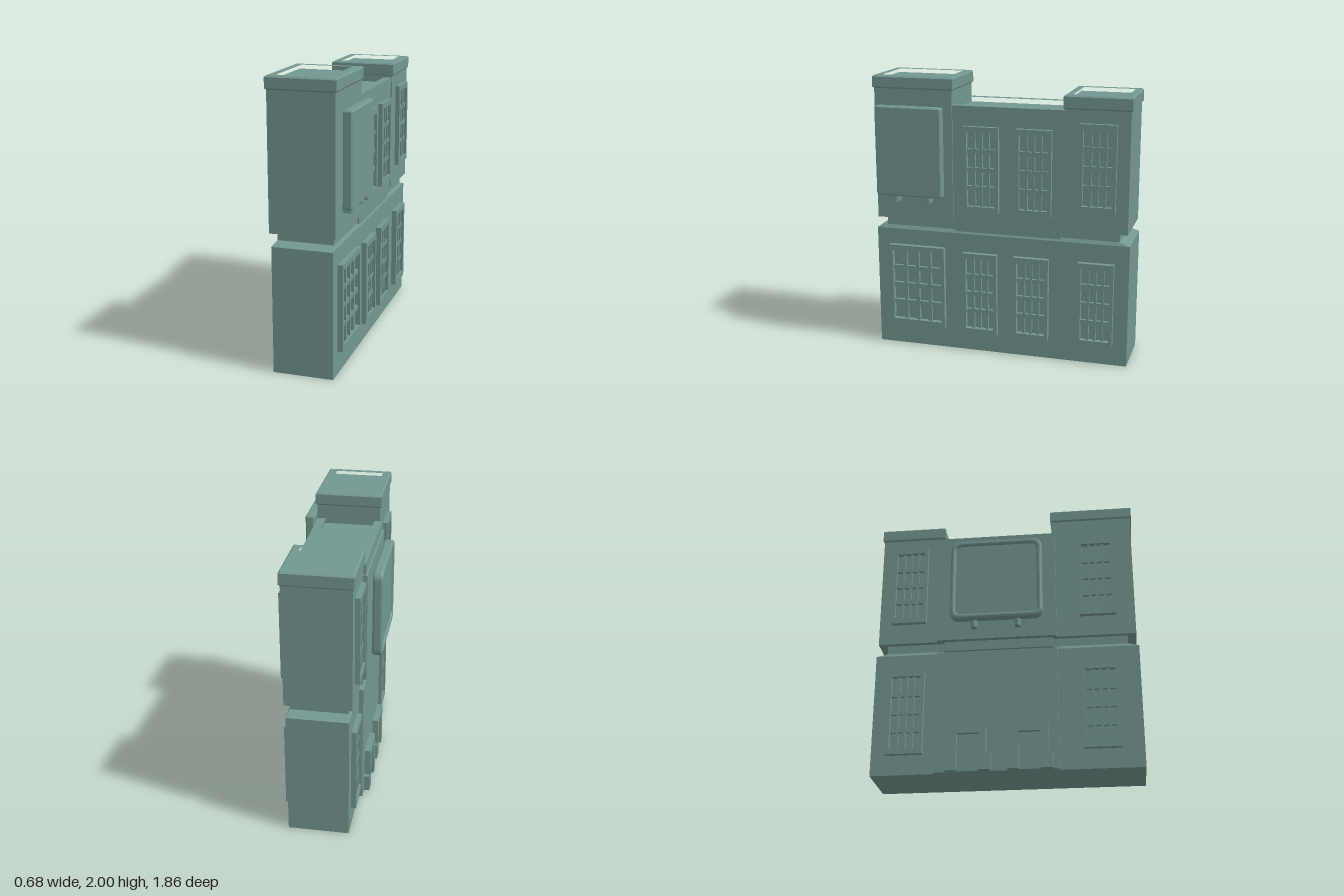
import * as THREE from 'three';

const material = new THREE.MeshStandardMaterial({ color: 0x739791, flatShading: true });

function add(parent, name, geometry) {
  const mesh = new THREE.Mesh(geometry, material);
  mesh.name = name;
  parent.add(mesh);
  return mesh;
}

// Box given by its limits; inset pulls the top edges inwards
function block(parent, name, [x0, x1], [y0, y1], [z0, z1], inset = [0, 0]) {
  const g = new THREE.BoxGeometry(x1 - x0, y1 - y0, z1 - z0);
  const p = g.attributes.position;
  for (let i = 0; i < p.count; i++) {
    if (p.getY(i) > 0) {
      p.setX(i, p.getX(i) - Math.sign(p.getX(i)) * inset[0]);
      p.setZ(i, p.getZ(i) - Math.sign(p.getZ(i)) * inset[1]);
    }
  }
  g.computeVertexNormals();
  g.translate((x0 + x1) / 2, (y0 + y1) / 2, (z0 + z1) / 2);
  return add(parent, name, g);
}

// Rectangle outline with optional rounded corners
function rect(w, h, r = 0, Type = THREE.Shape) {
  const s = new Type(), a = w / 2, b = h / 2;
  if (!r) {
    s.moveTo(-a, -b).lineTo(a, -b).lineTo(a, b).lineTo(-a, b).closePath();
    return s;
  }
  s.absarc(a - r, -b + r, r, -Math.PI / 2, 0);
  s.absarc(a - r, b - r, r, 0, Math.PI / 2);
  s.absarc(-a + r, b - r, r, Math.PI / 2, Math.PI);
  s.absarc(-a + r, -b + r, r, Math.PI, Math.PI * 1.5);
  s.closePath();
  return s;
}

function ring(w, h, innerW, innerH, depth, r = 0, innerR = 0) {
  const s = rect(w, h, r);
  s.holes.push(rect(innerW, innerH, innerR, THREE.Path));
  return new THREE.ExtrudeGeometry(s, { depth, bevelEnabled: false, curveSegments: 5 });
}

// Group fixed to a side wall, its local +z pointing out of the wall
function wallGroup(parent, name, side, x, y, z) {
  const g = new THREE.Group();
  g.name = name;
  g.position.set(side * x, y, z);
  g.rotation.y = side * Math.PI / 2;
  parent.add(g);
  return g;
}

// Framed window with four columns and four rows of panes
function addWindow(parent, side, wall, out, z, y0, w) {
  const h = 0.61, d = out - wall, iw = w - 0.05, ih = h - 0.08;
  const g = wallGroup(parent, 'window', side, wall, y0 + h / 2, z);
  add(g, 'windowFrame', ring(w, h, iw, ih, d));
  const bar = w > 0.3 ? 0.026 : 0.017;
  const bd = d * 0.65;
  for (let i = -1; i <= 1; i++) {
    block(g, 'verticalBar', [i * iw / 4 - bar / 2, i * iw / 4 + bar / 2], [-ih / 2, ih / 2], [0, bd]);
    block(g, 'horizontalBar', [-iw / 2, iw / 2], [i * ih / 4 - 0.015, i * ih / 4 + 0.015], [0, bd * 0.95]);
  }
}

// Raised roof edge around a sunken deck
function addRoof(parent, name, [x0, x1], [y0, y1], [z0, z1], [ix0, ix1], [iz0, iz1], sink, bevel) {
  const s = new THREE.Shape([[x0, z0], [x1, z0], [x1, z1], [x0, z1]].map(([x, z]) => new THREE.Vector2(x, -z)));
  s.holes.push(new THREE.Path([[ix0, iz0], [ix1, iz0], [ix1, iz1], [ix0, iz1]].map(([x, z]) => new THREE.Vector2(x, -z))));
  const g = new THREE.ExtrudeGeometry(s, {
    depth: y1 - y0 - bevel, bevelEnabled: bevel > 0, bevelThickness: bevel, bevelSize: bevel,
    bevelOffset: -bevel, bevelSegments: 1,
  });
  g.rotateX(-Math.PI / 2).translate(0, y0, 0);
  add(parent, name + 'Rim', g);
  const e = 0.012;
  block(parent, name + 'Deck', [ix0 - e, ix1 + e], [y0, y1 - sink], [iz0 - e, iz1 + e]);
}

// Doorway with jambs, lintel, recessed door and low side blocks
function addDoor(parent, z) {
  const g = wallGroup(parent, 'doorway', -1, 0.225, 0, z);
  for (const s of [-1, 1]) {
    const span = (a, b) => (s > 0 ? [a, b] : [-b, -a]);
    block(g, 'doorJamb', span(0.075, 0.125), [0, 0.32], [0, 0.047]);
    block(g, 'doorSideBlock', span(0.125, 0.155), [0, 0.12], [0, 0.045]);
  }
  block(g, 'doorLintel', [-0.075, 0.075], [0.26, 0.32], [0, 0.047]);
  block(g, 'door', [-0.075, 0.075], [0, 0.26], [0, 0.018]);
}

// Tapered foot below a sign and the arm tying it to the wall
function addBracket(parent, side, wall, reach, y, z) {
  const g = wallGroup(parent, 'signBracket', side, wall, y, z);
  const d = reach - wall;
  const arm = new THREE.CylinderGeometry(0.026, 0.02, 0.065, 8);
  arm.translate(0, 0, d - 0.026);
  add(g, 'bracketFoot', arm);
  block(g, 'bracketArm', [-0.02, 0.02], [-0.028, 0.03], [-0.01, d - 0.02]);
}

export function createModel() {
  const model = new THREE.Group();
  model.name = 'building';

  // Ground storey with its sloped ledge and the neck above
  block(model, 'groundStorey', [-0.2, 0.22], [0, 0.885], [-0.93, 0.93]);
  block(model, 'groundLedge', [-0.2, 0.22], [0.885, 0.91], [-0.93, 0.93], [0.015, 0.075]);
  block(model, 'neck', [-0.185, 0.205], [0.9, 0.975], [-0.855, 0.855]);
  block(model, 'neckPanel', [-0.215, 0.218], [0.9, 0.972], [-0.44, 0.33]);
  block(model, 'groundBackWall', [-0.23, -0.19], [0, 0.885], [-0.49, 0.36]);

  // Upper middle storey
  block(model, 'middleStorey', [-0.23, 0.225], [0.97, 1.73], [-0.47, 0.35]);
  block(model, 'upperBackWall', [-0.25, -0.2], [0.97, 1.74], [-0.49, 0.36]);
  addRoof(model, 'middleRoof', [-0.235, 0.23], [1.73, 1.81], [-0.47, 0.35], [-0.18, 0.17], [-0.46, 0.34], 0.035, 0);

  // Front and back towers with their caps
  block(model, 'frontTower', [-0.22, 0.235], [0.97, 1.93], [0.34, 0.915]);
  addRoof(model, 'frontTowerCap', [-0.23, 0.245], [1.92, 2], [0.33, 0.925], [-0.18, 0.19], [0.375, 0.88], 0.03, 0.01);
  block(model, 'backTower', [-0.22, 0.235], [0.97, 1.84], [-0.915, -0.46]);
  addRoof(model, 'backTowerCap', [-0.23, 0.245], [1.83, 1.915], [-0.925, -0.455], [-0.18, 0.195], [-0.885, -0.5], 0.03, 0.01);

  // Windows: side, wall, outer face, centre z, bottom y, width
  const windows = [
    [1, 0.22, 0.257, 0.62, 0.16, 0.42],
    [1, 0.22, 0.257, 0.143, 0.14, 0.255],
    [1, 0.22, 0.257, -0.235, 0.14, 0.255],
    [1, 0.22, 0.257, -0.7, 0.14, 0.255],
    [1, 0.225, 0.257, 0.127, 1.06, 0.255],
    [1, 0.225, 0.257, -0.25, 1.06, 0.255],
    [1, 0.235, 0.267, -0.7, 1.12, 0.255],
  ];
  for (const z of [0.655, -0.7]) {
    windows.push([-1, 0.2, 0.234, z, 0.14, 0.255], [-1, 0.22, 0.254, z, 1.12, 0.255]);
  }
  for (const w of windows) addWindow(model, ...w);

  // Doors on the back wall
  addDoor(model, -0.255);
  addDoor(model, 0.165);

  // Flat sign on the front tower
  const flat = wallGroup(model, 'flatSign', 1, 0.27, 1.48, 0.635);
  const flatGeo = new THREE.ExtrudeGeometry(rect(0.49, 0.64, 0.015), {
    depth: 0.045, bevelThickness: 0.01, bevelSize: 0.01, bevelOffset: -0.01, bevelSegments: 1, curveSegments: 2,
  });
  add(flat, 'signPanel', flatGeo.translate(0, 0, 0.01));
  for (const z of [0.51, 0.75]) addBracket(model, 1, 0.235, 0.305, 1.138, z);

  // Rounded sign with a raised rim on the back wall
  const round = wallGroup(model, 'roundedSign', -1, 0.27, 1.405, -0.06);
  const shape = rect(0.66, 0.63, 0.06);
  shape.holes.push(rect(0.58, 0.55, 0.04, THREE.Path));
  const rim = new THREE.ExtrudeGeometry(shape, {
    depth: 0.04, bevelThickness: 0.015, bevelSize: 0.015, bevelOffset: -0.015, bevelSegments: 2, curveSegments: 5,
  });
  add(round, 'signRim', rim.translate(0, 0, 0.015));
  add(round, 'signPanel', new THREE.ExtrudeGeometry(rect(0.61, 0.58, 0.04), { depth: 0.045, bevelEnabled: false }).translate(0, 0, 0.01));
  for (const z of [-0.22, 0.09]) addBracket(model, -1, 0.25, 0.31, 1.072, z);

  return model;
}
